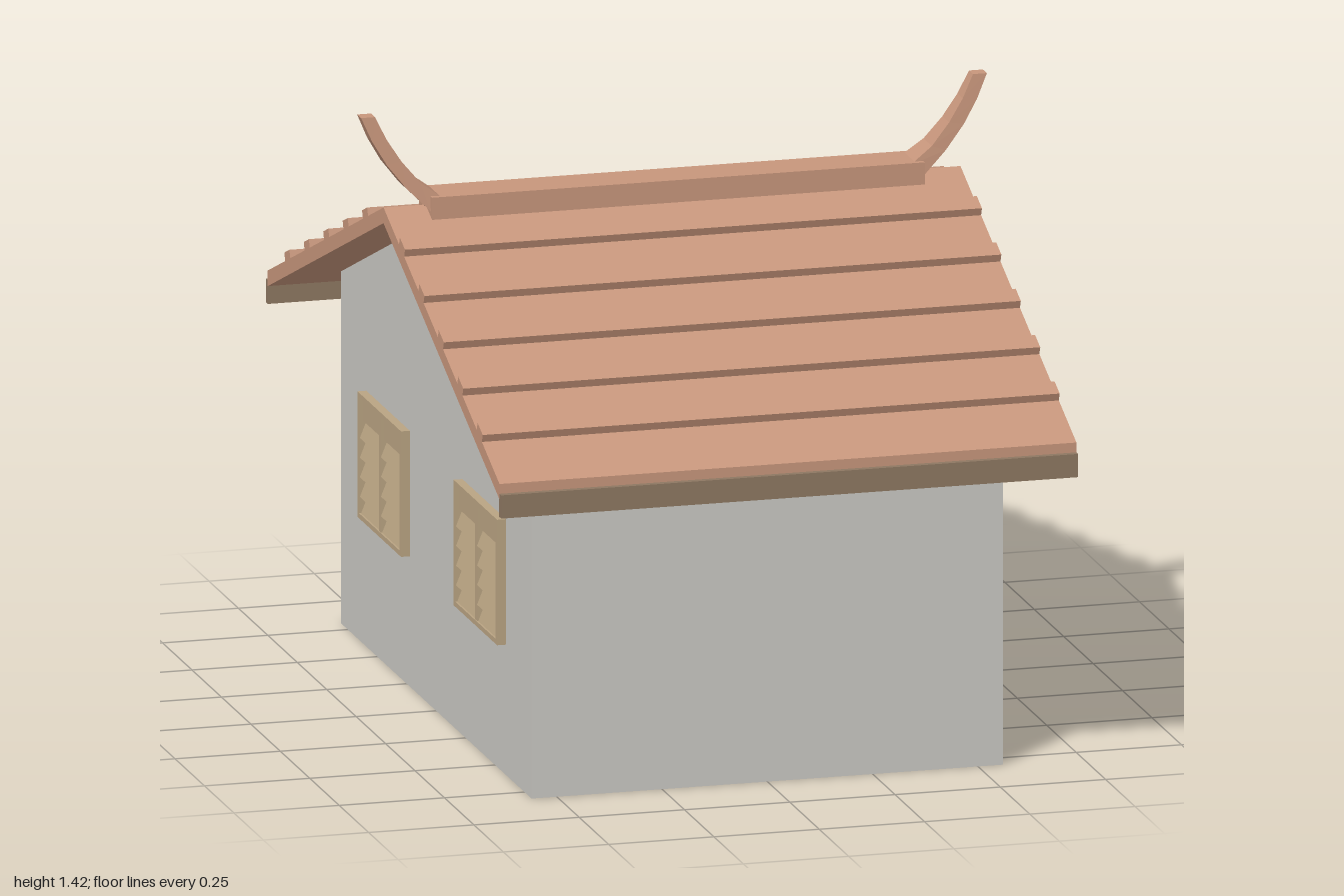
import * as THREE from 'three';

const mat = (name, color) => {
  const m = new THREE.MeshStandardMaterial({ color });
  m.name = name;
  return m;
};

export function createModel() {
  const plaster = mat('plaster', 0xc9c7c2);
  const tile = mat('roofTile', 0xc6957b);
  const eaveWood = mat('eaveWood', 0x8d7761);
  const tan = mat('tanWood', 0xb9a382);
  const doorWood = mat('doorWood', 0x836853);
  const metal = mat('knobMetal', 0xaab2b8);

  const house = new THREE.Group();
  house.name = 'house';

  const add = (parent, name, geo, material, x = 0, y = 0, z = 0) => {
    const m = new THREE.Mesh(geo, material);
    m.name = name;
    m.position.set(x, y, z);
    parent.add(m);
    return m;
  };
  const box = (parent, name, material, w, h, d, x, y, z) =>
    add(parent, name, new THREE.BoxGeometry(w, h, d), material, x, y, z);
  // Extrudes a side profile of [z, y] points from x0 to x1
  const alongX = (name, material, pts, x0, x1) => {
    const shape = new THREE.Shape(pts.map(([z, y]) => new THREE.Vector2(-z, y)));
    const geo = new THREE.ExtrudeGeometry(shape, { depth: x1 - x0, bevelEnabled: false });
    geo.rotateY(Math.PI / 2).translate(x0, 0, 0);
    return add(house, name, geo, material);
  };

  // Walls: gabled body, with a door recess in the middle of the back
  const W = 0.56, D = 0.81, doorHalf = 0.15, doorLow = 0.03, doorTop = 0.68, recess = 0.09;
  const gable = [[-D, 0], [D, 0], [D, 0.832], [0, 1.163], [-D, 0.832]];
  const notch = [[-D, doorTop], [-D + recess, doorTop], [-D + recess, doorLow], [-D, doorLow]];
  alongX('wallRight', plaster, gable, -W, -doorHalf);
  alongX('wallLeft', plaster, gable, doorHalf, W);
  alongX('wallMiddle', plaster, [...gable, ...notch], -doorHalf, doorHalf);

  // Roof: two slopes with raised strips and eave boards
  const slope = 0.408, ridge = 1.2, eave = 0.985, roofX = 0.685;
  const roofY = (z) => ridge - slope * z;
  const angle = Math.atan(slope);
  for (const s of [1, -1]) {
    const side = s > 0 ? 'front' : 'back';
    alongX(side + 'RoofSlope', tile, [
      [0, ridge], [s * eave, roofY(eave)], [s * eave, roofY(eave) - 0.037], [0, ridge - 0.037],
    ], -roofX, roofX);
    for (let i = 0; i < 5; i++) {
      const z = 0.155 + i * 0.165;
      const strip = box(house, side + 'RoofStrip', tile, roofX * 2, 0.03, 0.047, 0, roofY(z) + 0.005, s * z);
      strip.rotation.x = s * angle;
    }
    box(house, side + 'EaveBoard', eaveWood, roofX * 2, 0.055, 0.018, 0, 0.7475, s * 0.991);
  }
  box(house, 'ridgeCap', tile, 1.17, 0.055, 0.11, 0, 1.2025, 0);

  // Curved horns on the ridge ends: [outer x, y, inner x, y, half width]
  const sections = [
    [0.585, 1.195, 0.553, 1.222, 0.044],
    [0.64, 1.25, 0.607, 1.262, 0.036],
    [0.685, 1.307, 0.65, 1.313, 0.029],
    [0.718, 1.363, 0.684, 1.366, 0.023],
    [0.743, 1.42, 0.71, 1.42, 0.017],
  ];
  const hornGeometry = () => {
    const rings = sections.map(([ox, oy, ix, iy, h]) => [[ox, oy, h], [ox, oy, -h], [ix, iy, -h], [ix, iy, h]]);
    const pos = [];
    const quad = (a, b, c, d) => pos.push(...a, ...b, ...c, ...a, ...c, ...d);
    for (let i = 0; i < rings.length - 1; i++) {
      for (let j = 0; j < 4; j++) {
        const k = (j + 1) % 4;
        quad(rings[i][j], rings[i][k], rings[i + 1][k], rings[i + 1][j]);
      }
    }
    const first = rings[0], last = rings[rings.length - 1];
    quad(first[3], first[2], first[1], first[0]);
    quad(last[0], last[1], last[2], last[3]);
    const geo = new THREE.BufferGeometry();
    geo.setAttribute('position', new THREE.Float32BufferAttribute(pos, 3));
    geo.computeVertexNormals();
    return geo;
  };
  add(house, 'leftHorn', hornGeometry(), tile);
  add(house, 'rightHorn', hornGeometry(), tile).rotation.y = Math.PI;

  // Louvred window, facing local +z, with its back on z = 0
  const makeWindow = (name) => {
    const g = new THREE.Group();
    g.name = name;
    const w = 0.37, h = 0.297, t = 0.012, d = 0.021;
    box(g, 'backing', tan, w - t, h - t, 0.004, 0, 0, 0.002);
    for (const s of [1, -1]) {
      box(g, 'frameSide', tan, t, h, d, s * (w - t) / 2, 0, d / 2);
      box(g, 'frameRail', tan, w - 2 * t, t, d, 0, s * (h - t) / 2, d / 2);
      const x = s * 0.0895;
      box(g, 'topPanel', tan, 0.161, 0.05, 0.01, x, 0.108, 0.007);
      for (let i = 0; i < 5; i++) {
        const slat = box(g, 'slat', tan, 0.161, 0.036, 0.004, x, 0.058 - i * 0.0465, 0.011);
        slat.rotation.x = -0.38;
      }
    }
    box(g, 'centrePost', tan, 0.018, h - 2 * t, d - 0.002, 0, 0, (d - 0.002) / 2);
    return g;
  };
  for (const s of [1, -1]) {
    for (const z of [0.408, -0.408]) {
      const win = makeWindow((s > 0 ? 'left' : 'right') + (z > 0 ? 'Front' : 'Back') + 'Window');
      win.position.set(s * W, 0.457, z);
      win.rotation.y = s * Math.PI / 2;
      house.add(win);
    }
  }

  // Panelled door in the back recess, built facing local +z
  const door = new THREE.Group();
  door.name = 'door';
  door.rotation.y = Math.PI;
  house.add(door);
  const H = doorTop - doorLow, mid = (doorTop + doorLow) / 2, face = D - recess;
  box(door, 'doorLeaf', doorWood, 0.27, H, 0.014, 0, mid, face + 0.007);
  for (const x of [-0.115, 0, 0.115]) {
    box(door, 'doorStile', doorWood, 0.04, H, 0.012, x, mid, face + 0.019);
  }
  for (const y of [0.05, 0.25, 0.48, 0.66]) {
    box(door, 'doorRail', doorWood, 0.27, 0.036, 0.011, 0, y, face + 0.0185);
  }
  for (const s of [1, -1]) {
    box(door, 'doorJamb', tan, 0.015, H, recess + 0.003, s * (doorHalf - 0.0075), mid, D - recess / 2 + 0.0015);
  }
  add(door, 'doorKnob', new THREE.SphereGeometry(0.014, 12, 8), metal, 0.108, 0.32, face + 0.035);

  return house;
}
